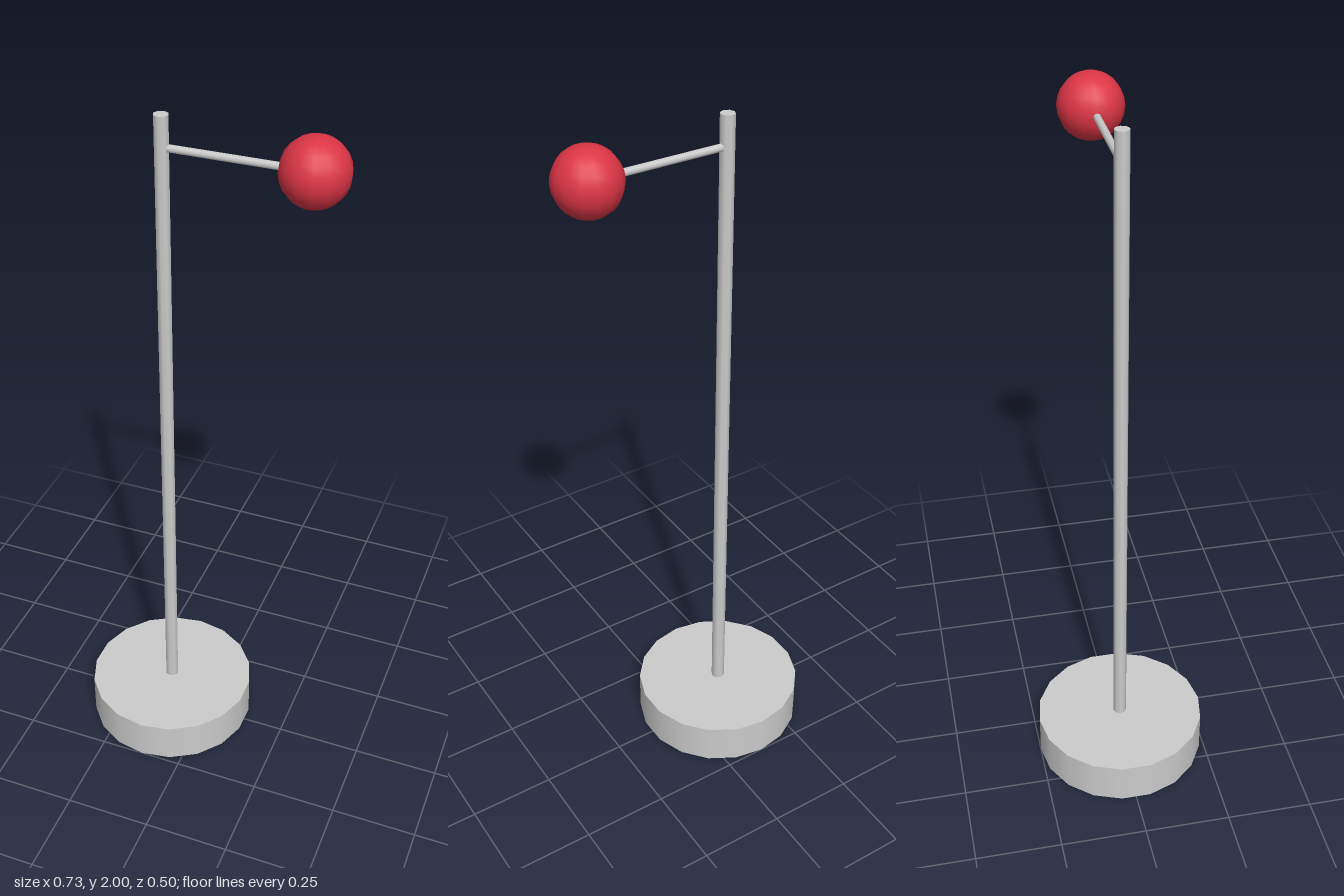
import * as THREE from 'three';

export function createModel() {
  const model = new THREE.Group();
  const grey = new THREE.MeshStandardMaterial({ color: 0xcccccc });
  const red = new THREE.MeshStandardMaterial({ color: 0xdc3545 });
  const poleX = -0.12, armY = 1.91, ballX = 0.273;

  const add = (name, geometry, material, x, y) => {
    const mesh = new THREE.Mesh(geometry, material);
    mesh.name = name;
    mesh.position.set(x, y, 0);
    model.add(mesh);
    return mesh;
  };

  // Heavy round foot
  add('base', new THREE.CylinderGeometry(0.25, 0.25, 0.125, 18), grey, poleX, 0.0625);

  // Upright pole, standing on the base
  const poleBottom = 0.12, poleTop = 1.995;
  add('pole', new THREE.CylinderGeometry(0.02, 0.02, poleTop - poleBottom, 8), grey,
    poleX, (poleBottom + poleTop) / 2);

  // Horizontal arm from the pole into the ball
  const armEnd = 0.2;
  const arm = add('arm', new THREE.CylinderGeometry(0.0105, 0.0105, armEnd - poleX, 8), grey,
    (poleX + armEnd) / 2, armY);
  arm.rotation.z = Math.PI / 2;

  // Ball at the arm's tip
  add('ball', new THREE.SphereGeometry(0.09, 14, 12), red, ballX, armY);

  return model;
}
